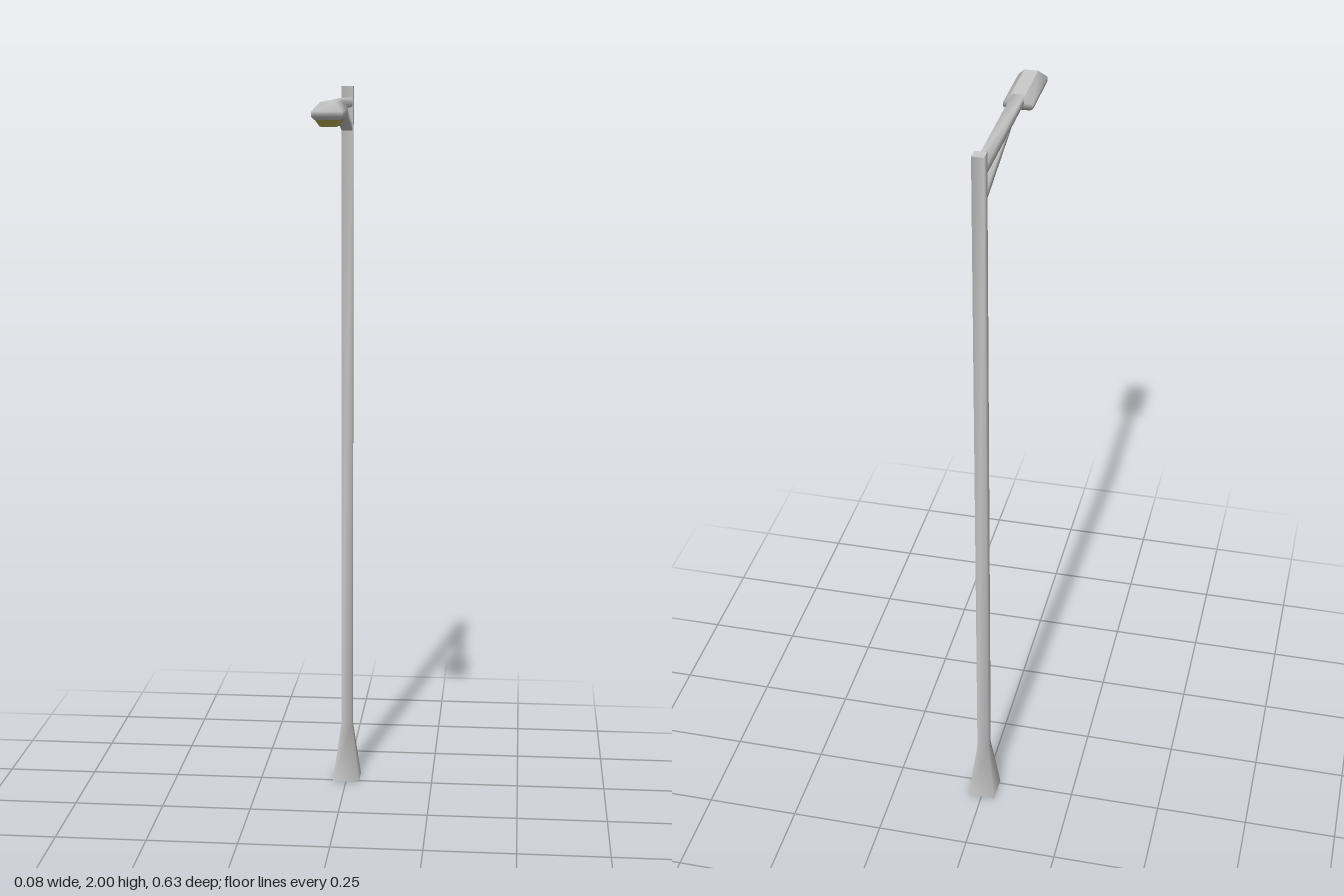
import * as THREE from 'three';

// Four-cornered rings: horizontal (stacked upward) and vertical (stacked toward +z)
const flatRing = (y, w, z0, z1) => [[w, y, z1], [w, y, z0], [-w, y, z0], [-w, y, z1]];
const uprightRing = (z, w, y0, y1) => [[w, y0, z], [w, y1, z], [-w, y1, z], [-w, y0, z]];

// Smooth-sided loft through the rings, with flat caps at both ends
function loft(name, rings, color = 0xcccccc) {
  const points = [...rings, rings[0], rings[rings.length - 1]].flat();
  const index = [];
  for (let r = 0; r < rings.length - 1; r++) {
    for (let i = 0; i < 4; i++) {
      const a = r * 4 + i, b = r * 4 + (i + 1) % 4;
      index.push(a, b, b + 4, a, b + 4, a + 4);
    }
  }
  const s = rings.length * 4, e = s + 4;
  index.push(s, s + 2, s + 1, s, s + 3, s + 2, e, e + 1, e + 2, e, e + 2, e + 3);
  const geometry = new THREE.BufferGeometry();
  geometry.setAttribute('position', new THREE.Float32BufferAttribute(points.flat(), 3));
  geometry.setIndex(index);
  geometry.computeVertexNormals();
  const mesh = new THREE.Mesh(geometry, new THREE.MeshStandardMaterial({ color }));
  mesh.name = name;
  return mesh;
}

export function createModel() {
  const group = new THREE.Group();
  group.name = 'streetLamp';

  // Square pole on a flared foot
  group.add(loft('pole', [
    flatRing(0, 0.038, -0.315, -0.239),
    flatRing(0.17, 0.0155, -0.293, -0.261),
    flatRing(2, 0.0155, -0.293, -0.261),
  ]));

  // Horizontal arm and the sloping brace below it
  group.add(loft('arm', [
    uprightRing(-0.265, 0.015, 1.945, 1.969),
    uprightRing(0.14, 0.015, 1.945, 1.969),
  ]));
  group.add(loft('brace', [
    uprightRing(-0.265, 0.015, 1.879, 1.904),
    uprightRing(0.0, 0.015, 1.945, 1.967),
  ]));

  // Lamp head: tapered top, vertical band and inset underside
  group.add(loft('lampHousing', [
    flatRing(1.925, 0.031, 0.15, 0.299),
    flatRing(1.933, 0.038, 0.138, 0.314),
    flatRing(1.946, 0.038, 0.138, 0.314),
    flatRing(1.969, 0.018, 0.128, 0.293),
  ]));

  // Yellowish lens bulging from the underside
  group.add(loft('lens', [
    flatRing(1.908, 0.021, 0.183, 0.272),
    flatRing(1.926, 0.031, 0.15, 0.299),
  ], 0xc8bc5a));

  return group;
}
